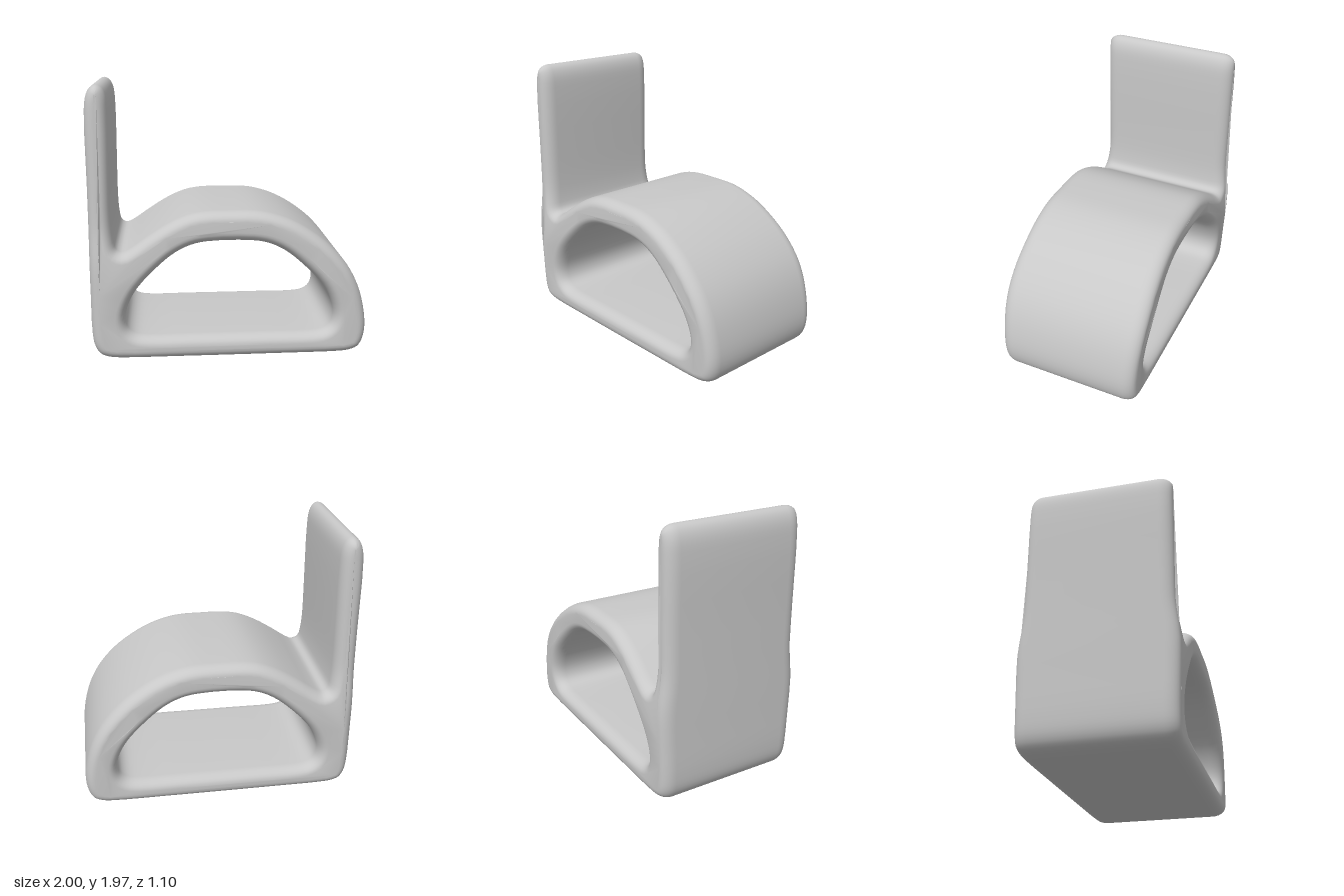
import * as THREE from 'three';
import { toCreasedNormals } from 'three/addons/utils/BufferGeometryUtils.js';

const HALF_WIDTH = 0.545, ROUND = 0.07, ROUND_Z = 0.1;

// Smooth closed loop through a few profile points
function smoothLoop(points, detail) {
  const curve = new THREE.CatmullRomCurve3(points.map(([x, y]) => new THREE.Vector3(x, y, 0)), true, 'centripetal');
  return curve.getPoints(points.length * detail).slice(0, -1).map(p => new THREE.Vector2(p.x, p.y));
}

// Side profile: flat base, arch, fillet, upright panel
const outline = [
  [-0.8, 0.003], [-0.4, 0], [0.4, 0], [0.8, 0.003], [0.88, 0.012], [0.945, 0.04], [0.98, 0.095],
  [0.997, 0.2], [0.98, 0.35], [0.93, 0.52], [0.85, 0.67], [0.72, 0.82], [0.58, 0.93], [0.44, 1.01],
  [0.3, 1.06], [0.18, 1.082], [0, 1.086], [-0.18, 1.082], [-0.3, 1.06], [-0.44, 1.0], [-0.6, 0.9],
  [-0.7, 0.83], [-0.77, 0.797], [-0.812, 0.82], [-0.83, 0.9], [-0.838, 1.05], [-0.838, 1.3],
  [-0.838, 1.8], [-0.85, 1.9], [-0.877, 1.952], [-0.916, 1.97], [-0.956, 1.952], [-0.985, 1.9],
  [-1, 1.8], [-1, 1.3], [-1, 1.0], [-1, 0.8], [-1, 0.5], [-0.998, 0.2], [-0.982, 0.1], [-0.945, 0.04], [-0.88, 0.012],
];

// Right half of the opening, from the bottom up, then mirrored
const halfOpening = [
  [0.3, 0.17], [0.6, 0.171], [0.69, 0.187], [0.74, 0.23], [0.758, 0.31], [0.73, 0.42],
  [0.66, 0.54], [0.5, 0.705], [0.39, 0.79], [0.28, 0.842], [0.16, 0.865],
];
const opening = [...halfOpening, ...halfOpening.map(([x, y]) => [-x, y]).reverse()];

export function createModel() {
  const lightGrey = new THREE.MeshStandardMaterial({ color: 0xc8c8c8 });
  lightGrey.name = 'lightGrey';

  const shape = new THREE.Shape(smoothLoop(outline, 3));
  shape.holes.push(new THREE.Path(smoothLoop(opening, 3)));
  const depth = 2 * (HALF_WIDTH - ROUND_Z);
  const geometry = new THREE.ExtrudeGeometry(shape, {
    depth, bevelEnabled: true, bevelSize: ROUND, bevelOffset: -ROUND, bevelThickness: ROUND_Z, bevelSegments: 7,
  });
  geometry.translate(0, 0, -depth / 2);

  // The upright panel is slightly narrower; the arch's flanks swell a little
  const pos = geometry.attributes.position;
  for (let i = 0; i < pos.count; i++) {
    const x = pos.getX(i), y = pos.getY(i);
    const panel = x < -0.8 ? THREE.MathUtils.smoothstep(y, 0.7, 1.05) : 0;
    const swell = Math.min(Math.abs(x) / 0.7, 1) * Math.exp(-(((y - 0.65) / 0.3) ** 2));
    const width = THREE.MathUtils.lerp(0.535 + 0.016 * swell, 0.52, panel);
    pos.setZ(i, pos.getZ(i) * width / HALF_WIDTH);
  }

  const body = new THREE.Mesh(toCreasedNormals(geometry, 0.7), lightGrey);
  body.name = 'archBodyWithPanel';
  const group = new THREE.Group();
  group.name = 'archedStand';
  group.add(body);
  return group;
}
